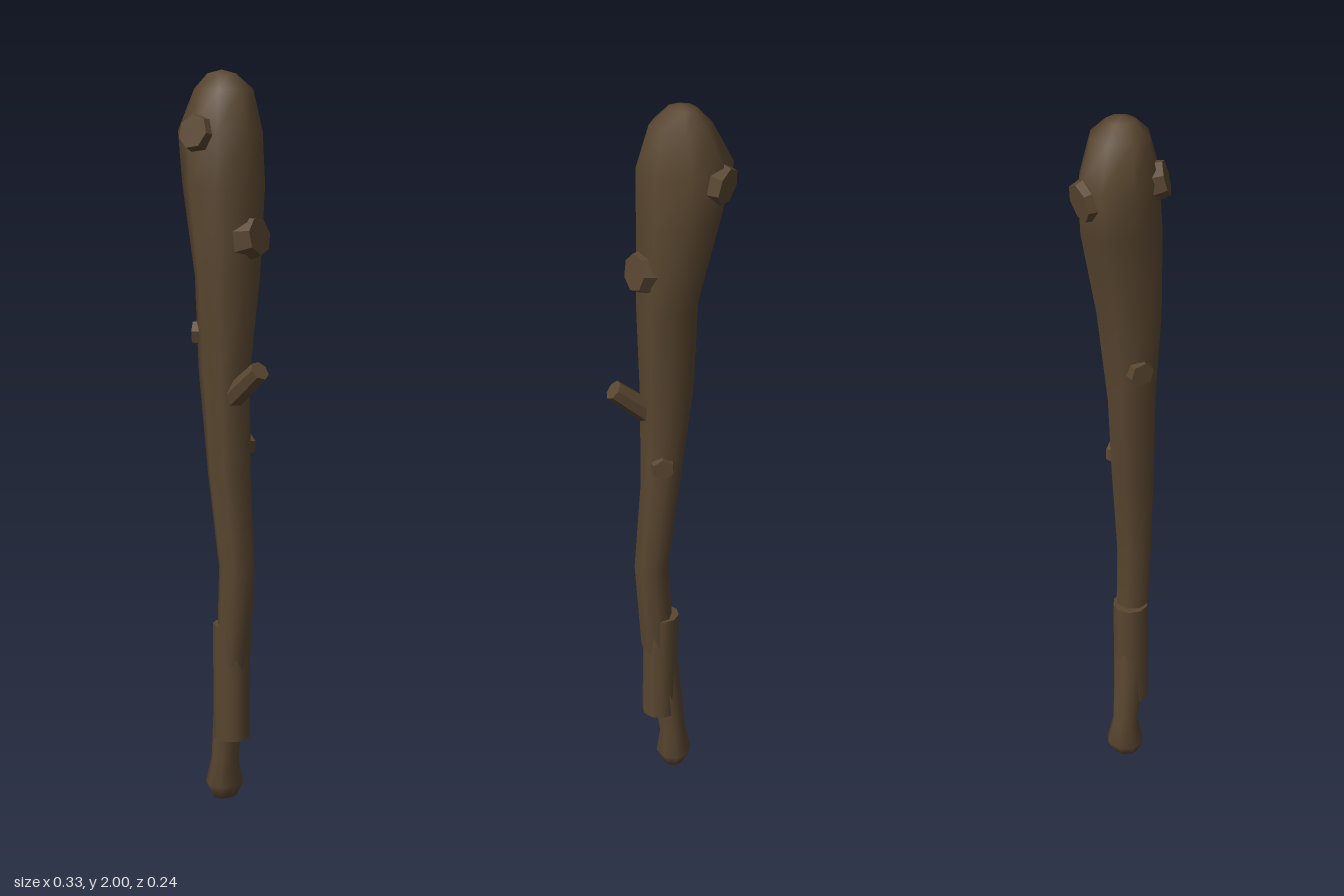
import * as THREE from 'three';

const SIDES = 8;

// Ring sections of the shaft: y, left x, right x, back z, front z
const SECTIONS = [
  [0.0, -0.04, 0.015, -0.035, 0.035],
  [0.04, -0.065, 0.035, -0.055, 0.055],
  [0.11, -0.05, 0.025, -0.038, 0.038],
  [0.32, -0.03, 0.055, -0.042, 0.045],
  [0.42, -0.015, 0.078, -0.044, 0.048],
  [0.67, 0.0, 0.095, -0.047, 0.053],
  [0.93, -0.035, 0.075, -0.052, 0.07],
  [1.2, -0.07, 0.075, -0.055, 0.08],
  [1.46, -0.08, 0.085, -0.09, 0.095],
  [1.7, -0.138, 0.085, -0.117, 0.106],
  [1.84, -0.168, 0.085, -0.11, 0.1],
  [1.95, -0.11, 0.052, -0.085, 0.07],
  [1.99, -0.07, 0.005, -0.042, 0.035],
];

// Crooked shaft lofted through the sections and closed at both ends
function shaftGeometry() {
  const pos = [], index = [];
  for (const [y, x0, x1, z0, z1] of SECTIONS) {
    for (let j = 0; j < SIDES; j++) {
      const a = (j / SIDES) * Math.PI * 2;
      pos.push((x0 + x1) / 2 + Math.cos(a) * (x1 - x0) / 2, y,
        (z0 + z1) / 2 + Math.sin(a) * (z1 - z0) / 2);
    }
  }
  const last = (SECTIONS.length - 1) * SIDES;
  const bottom = pos.length / 3, top = bottom + 1;
  pos.push(-0.012, 0, 0, -0.033, 2, -0.004);
  for (let j = 0; j < SIDES; j++) {
    const k = (j + 1) % SIDES;
    for (let r = 0; r < last; r += SIDES) {
      const a = r + j, b = r + k;
      index.push(a, a + SIDES, b, b, a + SIDES, b + SIDES);
    }
    index.push(bottom, j, k, top, last + k, last + j);
  }
  const g = new THREE.BufferGeometry();
  g.setAttribute('position', new THREE.Float32BufferAttribute(pos, 3));
  g.setIndex(index);
  g.computeVertexNormals();
  return g;
}

export function createModel() {
  const club = new THREE.Group();
  club.name = 'woodenClub';
  const bark = new THREE.MeshStandardMaterial({ color: 0x594630 });
  bark.name = 'dark bark';

  const add = (name, geometry) => {
    const mesh = new THREE.Mesh(geometry, bark);
    mesh.name = name;
    club.add(mesh);
    return mesh;
  };
  // Faceted stub running from one point to another
  const stub = (name, from, to, r0, r1, sides) => {
    const a = new THREE.Vector3(...from), b = new THREE.Vector3(...to);
    const dir = b.clone().sub(a);
    const geo = new THREE.CylinderGeometry(r1, r0, dir.length(), sides).toNonIndexed();
    geo.computeVertexNormals();
    const mesh = add(name, geo);
    mesh.position.copy(a).add(b).multiplyScalar(0.5);
    mesh.quaternion.setFromUnitVectors(new THREE.Vector3(0, 1, 0), dir.normalize());
    return mesh;
  };

  add('shaft', shaftGeometry());

  // Straight sleeve around the handle
  const grip = add('gripSleeve', new THREE.CylinderGeometry(0.05, 0.05, 0.325, 10));
  grip.position.set(0.023, 0.345, 0.003);
  grip.rotation.z = 0.015;

  // Broken side branch
  stub('branchStub', [0.03, 1.125, 0.018], [0.148, 1.223, 0.001], 0.034, 0.028, 7);

  // Knots in the bark
  stub('frontKnot', [-0.02, 1.83, 0.06], [-0.006, 1.843, 0.108], 0.055, 0.046, 7);
  stub('rightKnot', [0.04, 1.56, -0.015], [0.096, 1.57, -0.036], 0.066, 0.05, 7);
  stub('leftKnot', [-0.09, 1.81, -0.035], [-0.138, 1.8, -0.075], 0.066, 0.05, 7);
  stub('smallLeftKnot', [-0.03, 1.305, 0.035], [-0.063, 1.305, 0.068], 0.038, 0.032, 6);
  stub('smallBackKnot', [0.022, 1.0, -0.025], [0.024, 1.0, -0.058], 0.038, 0.03, 6);

  return club;
}
